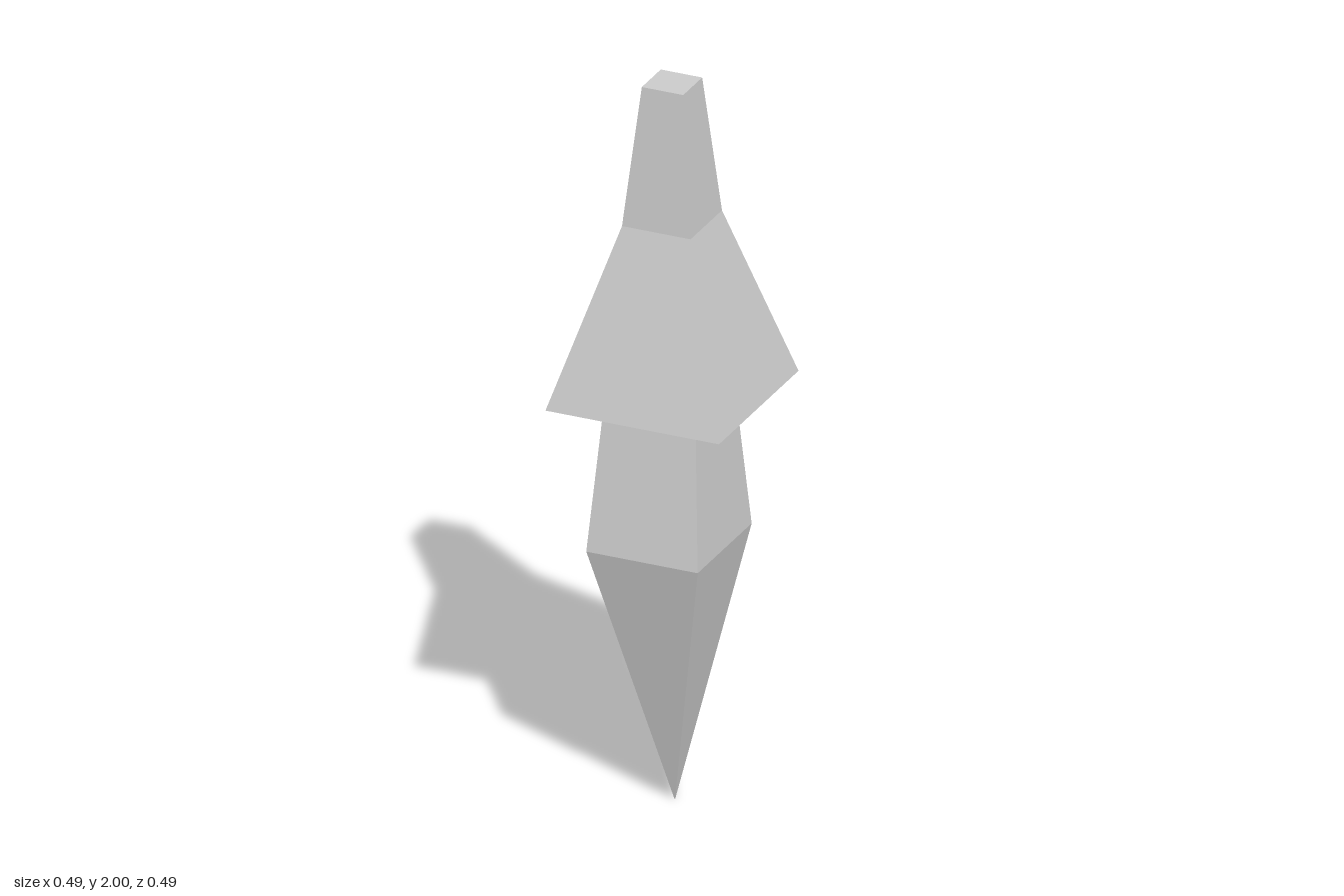
import * as THREE from 'three';

// Closed loft through four-sided rings, listed from bottom to top: [y, x0, x1, z0, z1]
function loft(rings) {
  const pos = [];
  const corners = ([y, x0, x1, z0, z1]) => [[x0, y, z1], [x1, y, z1], [x1, y, z0], [x0, y, z0]];
  const quad = (a, b, c, d) => pos.push(...a, ...b, ...c, ...a, ...c, ...d);
  for (let i = 0; i < rings.length - 1; i++) {
    const lo = corners(rings[i]), hi = corners(rings[i + 1]);
    for (let k = 0; k < 4; k++) {
      const n = (k + 1) % 4;
      quad(lo[k], lo[n], hi[n], hi[k]);
    }
  }
  const bottom = corners(rings[0]), top = corners(rings[rings.length - 1]);
  quad(...bottom.reverse());
  quad(...top);
  const geo = new THREE.BufferGeometry();
  geo.setAttribute('position', new THREE.Float32BufferAttribute(pos, 3));
  geo.computeVertexNormals();
  return geo;
}

export function createModel() {
  const group = new THREE.Group();
  const stone = new THREE.MeshStandardMaterial({ color: 0xcccccc, flatShading: true });
  stone.name = 'grey stone';

  const add = (name, rings) => {
    const mesh = new THREE.Mesh(loft(rings), stone);
    mesh.name = name;
    group.add(mesh);
  };

  // Flared cap with a narrow square neck
  const square = (y, r) => [y, -r, r, -r, r];
  add('flaredCap', [square(1.133, 0.243), square(1.618, 0.096), square(2, 0.058)]);

  // Slightly lopsided spike floating just below the cap
  add('lowerSpike', [
    [0, 0.017, 0.019, 0.021, 0.023],
    [0.725, -0.159, 0.153, -0.153, 0.177],
    [1.09, -0.141, 0.119, -0.13, 0.115],
  ]);

  return group;
}
